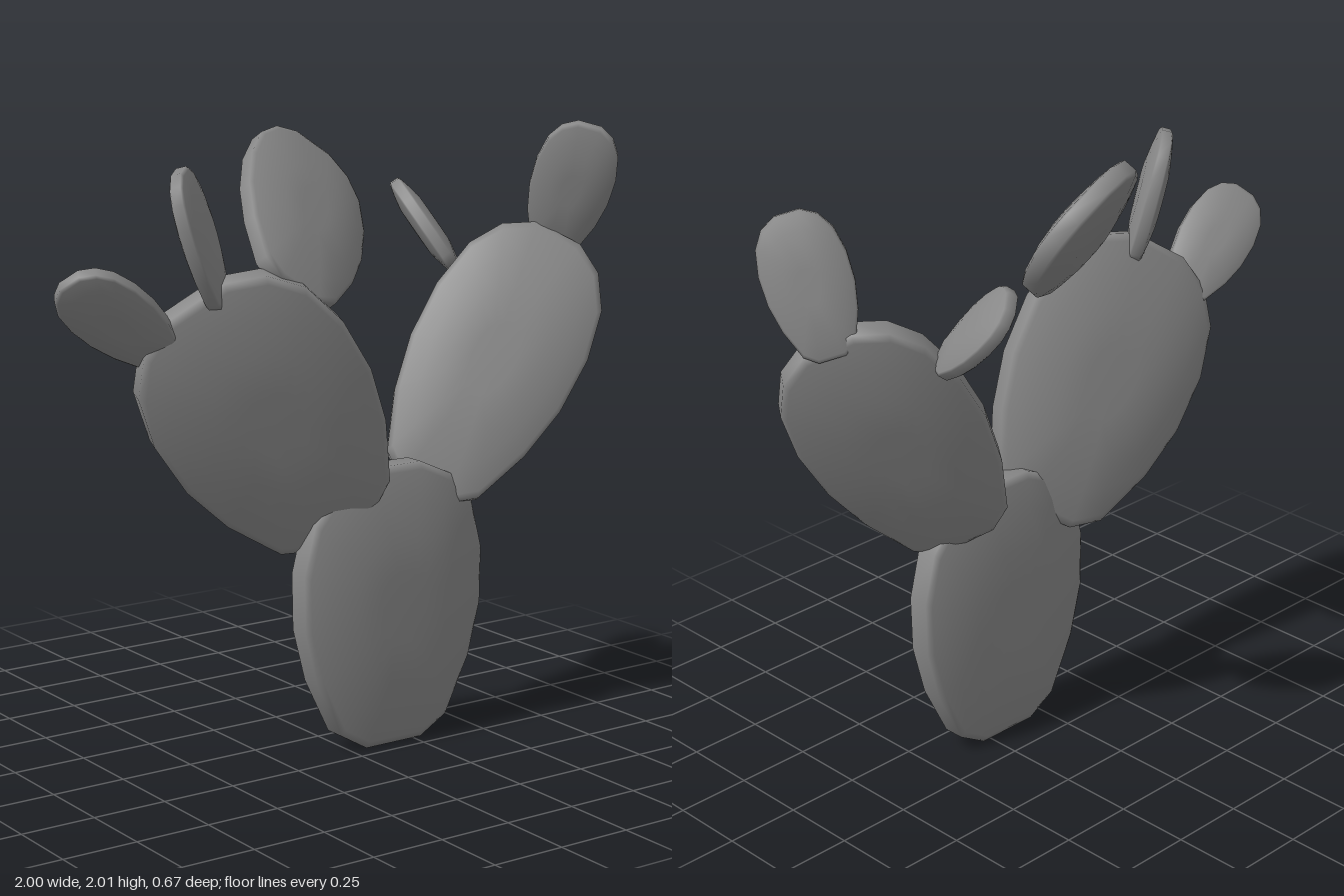
import * as THREE from 'three';

// Right half of a pad outline, bottom to top, in units of half width and half length
const HALF = [[0.31, -1], [0.6, -0.87], [0.86, -0.47], [0.99, -0.09], [1, 0.31], [0.88, 0.66], [0.64, 0.88], [0.29, 1]];
const OUTLINE = [...HALF, ...HALF.map(([x, y]) => [-x, y]).reverse()];

// Cross-section from front centre over the rim to back centre: [outline scale, depth]
const FRONT = [[0.25, 1], [0.5, 0.97], [0.75, 0.75], [0.95, 0.52], [1, 0.38]];
const SECTION = [...FRONT, ...FRONT.map(([s, d]) => [s, -d]).reverse()];

function padGeometry(halfWidth, halfLength, halfDepth) {
  const n = OUTLINE.length;
  const pos = [0, 0, halfDepth];
  const index = [];
  for (const [s, d] of SECTION) {
    for (const [x, y] of OUTLINE) pos.push(x * s * halfWidth, y * s * halfLength, d * halfDepth);
  }
  pos.push(0, 0, -halfDepth);
  const last = pos.length / 3 - 1;
  for (let i = 0; i < n; i++) {
    const j = (i + 1) % n;
    index.push(0, 1 + i, 1 + j);
    for (let r = 0; r < SECTION.length - 1; r++) {
      const a = 1 + r * n, b = a + n;
      index.push(a + i, b + i, b + j, a + i, b + j, a + j);
    }
    const e = last - n;
    index.push(last, e + j, e + i);
  }
  const g = new THREE.BufferGeometry();
  g.setAttribute('position', new THREE.Float32BufferAttribute(pos, 3));
  g.setIndex(index);
  g.computeVertexNormals();
  return g;
}

// centre, direction of growth, direction across, then half width, length and depth
const PADS = [
  { name: 'basePad', at: [0.17, 0.467, 0.155], up: [0, 1, 0], across: [1, 0, 0], size: [0.355, 0.467, 0.095] },
  { name: 'rightBranchPad', at: [-0.29, 1.14, 0.15], up: [-0.57, 0.8, 0.02], across: [0.48, 0.34, 0.217], size: [0.35, 0.488, 0.09] },
  { name: 'leftBranchPad', at: [0.605, 1.215, 0.13], up: [0.537, 0.843, 0.04], across: [0.843, -0.57, 0.78], size: [0.28, 0.485, 0.085] },
  { name: 'largeTopPad', at: [-0.09, 1.735, 0.04], up: [0.34, 0.4, -0.42], across: [0.814, -0.565, 0.122], size: [0.24, 0.335, 0.062] },
  { name: 'rightOuterBud', at: [-0.81, 1.49, 0.115], up: [-0.34, 0.26, 0.04], across: [0.05, 0.07, 0.08], size: [0.125, 0.225, 0.042] },
  { name: 'rightInnerBud', at: [-0.55, 1.715, 0.165], up: [-0.13, 0.41, -0.02], across: [-0.095, -0.025, 0.1], size: [0.135, 0.222, 0.042] },
  { name: 'leftTopBud', at: [0.875, 1.785, 0.2], up: [0.02, 0.42, 0.16], across: [0.105, -0.035, 0.08], size: [0.135, 0.226, 0.042] },
  { name: 'leftBackBud', at: [0.555, 1.645, -0.17], up: [-0.05, 0.25, -0.25], across: [0.7, -0.43, -0.57], size: [0.115, 0.185, 0.04] },
];

export function createModel() {
  const cactus = new THREE.Group();
  cactus.name = 'cactus';
  const material = new THREE.MeshStandardMaterial({ color: 0x888888 });
  for (const { name, at, up, across, size } of PADS) {
    const mesh = new THREE.Mesh(padGeometry(...size), material);
    mesh.name = name;
    const u = new THREE.Vector3(...up).normalize();
    const n = new THREE.Vector3(...across).cross(u).normalize();
    const w = u.clone().cross(n);
    mesh.quaternion.setFromRotationMatrix(new THREE.Matrix4().makeBasis(w, u, n));
    mesh.position.set(...at);
    cactus.add(mesh);
  }
  return cactus;
}
